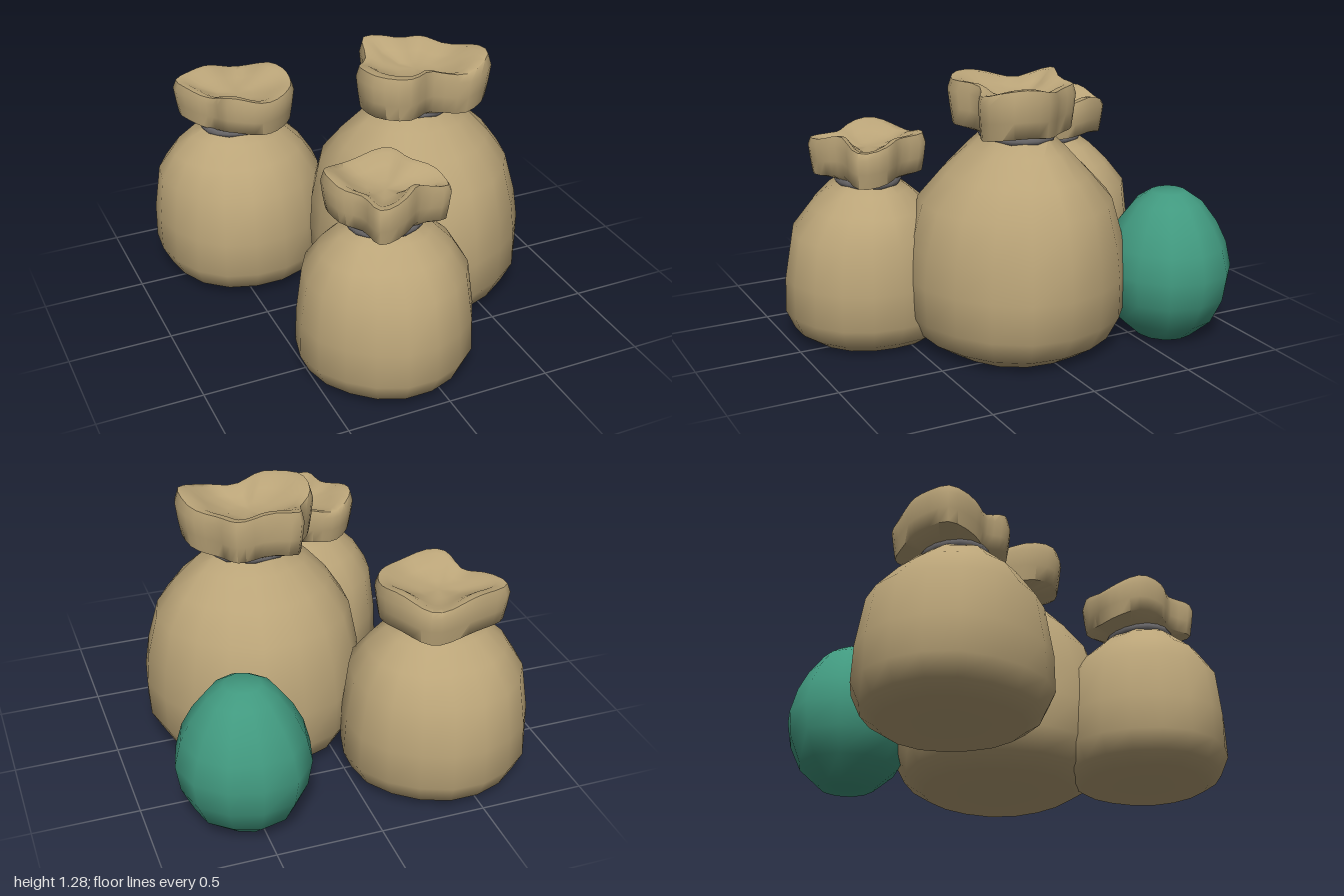
import * as THREE from 'three';
import { toCreasedNormals } from 'three/addons/utils/BufferGeometryUtils.js';

const cloth = new THREE.MeshStandardMaterial({ name: 'sackcloth', color: 0xbaa478 });
const cord = new THREE.MeshStandardMaterial({ name: 'greyCord', color: 0x6c6a6c });
const teal = new THREE.MeshStandardMaterial({ name: 'tealCloth', color: 0x41997f });

// Skin closed rings (bottom to top) and close both ends on their centres.
function loft(rings, crease) {
  const n = rings[0].length, points = rings.flat(), idx = [];
  const centre = ring => {
    const c = ring.reduce((s, p) => s.add(p), new THREE.Vector3()).divideScalar(n);
    return points.push(c) - 1;
  };
  const last = (rings.length - 1) * n;
  const bottom = centre(rings[0]), top = centre(rings[rings.length - 1]);
  for (let i = 0; i < n; i++) {
    const k = (i + 1) % n;
    for (let j = 0; j < last; j += n) {
      idx.push(j + i, j + n + i, j + k, j + k, j + n + i, j + n + k);
    }
    idx.push(bottom, i, k, top, last + k, last + i);
  }
  const g = new THREE.BufferGeometry().setFromPoints(points);
  g.setIndex(idx);
  return toCreasedNormals(g, crease);
}

// Lumpy round body; profile points are (radius, height), pleated and flattened towards the neck.
function lumpyBody(profile, sides, lump, phase, pleat, neckDepth) {
  const height = profile[profile.length - 1].y;
  return loft(profile.map(({ x: r, y }) => Array.from({ length: sides }, (_, i) => {
    const a = i / sides * Math.PI * 2;
    const fold = pleat * THREE.MathUtils.smoothstep(y / height, 0.75, 1) * (i % 2 ? 1 : -1);
    const w = 1 + fold + lump * (Math.sin(3 * a + phase + y * 2) + 0.7 * Math.sin(5 * a - phase * 2 + y * 5));
    const depth = THREE.MathUtils.lerp(1, neckDepth, THREE.MathUtils.smoothstep(y / height, 0.6, 0.9));
    return new THREE.Vector3(Math.cos(a) * r * w, y, Math.sin(a) * r * w * depth);
  })), 0.9);
}

// Gathered mouth: lobes given by radii at equal angles, flaring from the neck, hollow on top.
function mouth(radii, y0, h, neck, phase) {
  const curve = new THREE.CatmullRomCurve3(radii.map((r, i) => {
    const a = i / radii.length * Math.PI * 2;
    return new THREE.Vector3(Math.cos(a) * r, 0, Math.sin(a) * r);
  }), true, 'centripetal');
  const outline = curve.getPoints(36).slice(0, 36);
  const ring = (scale, level, ripple) => outline.map(p => {
    const a = Math.atan2(p.z, p.x);
    const wave = Math.sin(3 * a + phase) + 0.5 * Math.sin(5 * a - phase);
    return new THREE.Vector3(p.x * scale, y0 + h * level + ripple * wave, p.z * scale);
  });
  const neckRing = outline.map(p => p.clone().setLength(neck).setY(y0 - 0.01));
  return loft([neckRing, ring(0.93, 0.06, 0.012), ring(0.97, 0.4, 0.01), ring(1, 0.75, 0.01),
    ring(0.95, 0.95, 0.018), ring(0.8, 0.93, 0.018), ring(0.6, 0.78, 0.01), ring(0.3, 0.66, 0)], 1.2);
}

const toPoints = rows => rows.map(([r, y]) => new THREE.Vector2(r, y));

// Sack outlines as fractions of the widest radius and the neck height
const tall = toPoints([[0.7, 0], [0.88, 0.06], [0.99, 0.17], [1, 0.35], [0.97, 0.5],
  [0.88, 0.7], [0.71, 0.83], [0.5, 0.94], [0.36, 1], [0.31, 1.05]]);
const squat = toPoints([[0.74, 0], [0.9, 0.06], [1, 0.18], [0.99, 0.4], [0.92, 0.69],
  [0.75, 0.84], [0.53, 0.95], [0.38, 1], [0.33, 1.06]]);

function makeSack(name, x, z, shape, radius, neckY, mouthH, phase, lobes) {
  const sack = new THREE.Group();
  sack.name = name;
  sack.position.set(x, 0, z);
  const neck = radius * 0.2 + 0.08, neckDepth = 0.85;
  const profile = shape.map(p => new THREE.Vector2(p.x * radius, p.y * neckY));
  addPart(sack, 'sackBody', lumpyBody(profile, 18, 0.015, phase, 0.05, neckDepth), cloth);
  addPart(sack, 'sackMouth', mouth(lobes, neckY + 0.02, mouthH, neck - 0.02, phase), cloth);
  // Cord tied around the neck
  const tie = new THREE.TorusGeometry(neck, 0.022, 6, 18).rotateX(Math.PI / 2);
  addPart(sack, 'neckTie', tie.scale(1, 1, neckDepth).translate(0, neckY + 0.005, 0), cord);
  return sack;
}

function addPart(parent, name, geometry, material) {
  const mesh = new THREE.Mesh(geometry, material);
  mesh.name = name;
  parent.add(mesh);
  return mesh;
}

export function createModel() {
  const model = new THREE.Group();
  model.name = 'sackPile';
  model.add(
    makeSack('largeSack', 0.29, 0.01, tall, 0.525, 1.01, 0.235, 0.6,
      [0.31, 0.36, 0.31, 0.2, 0.31, 0.35, 0.31, 0.25, 0.32, 0.23, 0.27, 0.24]),
    makeSack('backSack', -0.42, -0.565, squat, 0.442, 0.79, 0.2, 2.1,
      [0.29, 0.29, 0.28, 0.27, 0.24, 0.18, 0.23, 0.32, 0.27, 0.26, 0.29, 0.28]),
    makeSack('frontSack', -0.135, 0.585, squat, 0.413, 0.765, 0.2, 4.0,
      [0.26, 0.29, 0.19, 0.22, 0.28, 0.19, 0.24, 0.29, 0.29, 0.26, 0.28, 0.21]),
  );

  // Egg-shaped bundle behind the large sack
  const egg = toPoints([[0.14, 0], [0.24, 0.09], [0.295, 0.21], [0.315, 0.34], [0.285, 0.46],
    [0.235, 0.56], [0.16, 0.66], [0.085, 0.71]]);
  addPart(model, 'tealBundle', lumpyBody(egg, 12, 0.022, 1.2, 0, 1), teal)
    .position.set(0.545, 0, -0.675);
  return model;
}
